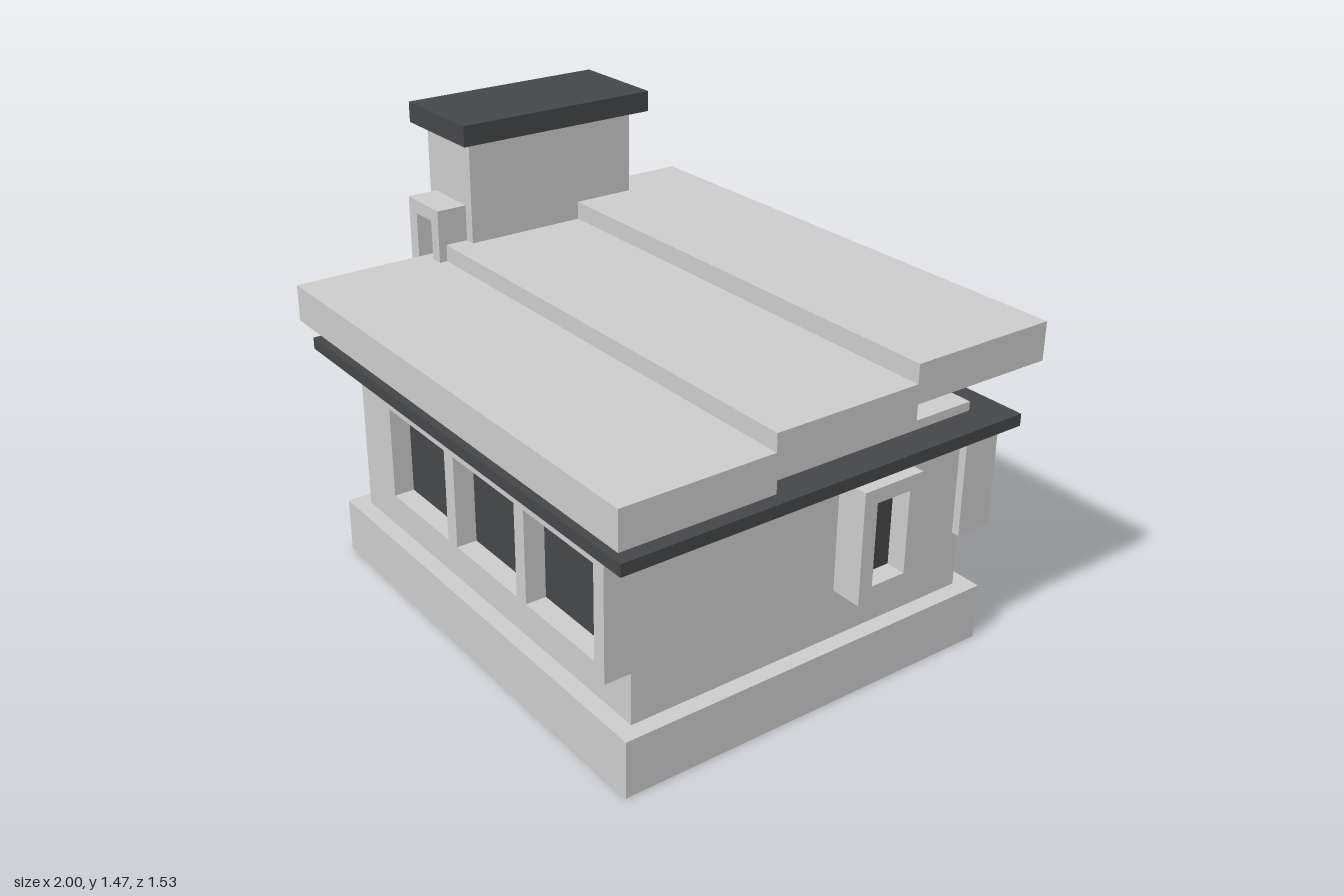
import * as THREE from 'three';

const wallMat = new THREE.MeshStandardMaterial({ color: 0xcccccc, flatShading: true });
const darkMat = new THREE.MeshStandardMaterial({ color: 0x444648, flatShading: true });

// Box given by its low and high limits on each axis
function block(name, [x0, x1], [y0, y1], [z0, z1], mat = wallMat) {
  const mesh = new THREE.Mesh(new THREE.BoxGeometry(x1 - x0, y1 - y0, z1 - z0), mat);
  mesh.name = name;
  mesh.position.set((x0 + x1) / 2, (y0 + y1) / 2, (z0 + z1) / 2);
  return mesh;
}

function rectangle(target, [x0, x1], [y0, y1]) {
  target.moveTo(x0, y0);
  target.lineTo(x1, y0);
  target.lineTo(x1, y1);
  target.lineTo(x0, y1);
  target.closePath();
  return target;
}

// Framed window facing +z: a deep frame from z = 0 with recessed panes
function framedWindow(name, xs, ys, depth, paneXs, paneYs, paneZ) {
  const group = new THREE.Group();
  group.name = name;
  const shape = rectangle(new THREE.Shape(), xs, ys);
  for (const px of paneXs) shape.holes.push(rectangle(new THREE.Path(), px, paneYs));
  const frame = new THREE.Mesh(new THREE.ExtrudeGeometry(shape, { depth, bevelEnabled: false }), wallMat);
  frame.name = 'windowFrame';
  group.add(frame);
  for (const px of paneXs) group.add(block('windowPane', px, paneYs, [0.005, paneZ], darkMat));
  return group;
}

export function createModel() {
  const model = new THREE.Group();
  model.name = 'house';

  // Plinth, walls and dark ledge
  model.add(block('plinth', [-0.737, 0.915], [0, 0.19], [-0.682, 0.682]));
  model.add(block('walls', [-0.68, 0.86], [0.19, 0.83], [-0.625, 0.625]));
  model.add(block('ledge', [-0.79, 0.967], [0.76, 0.8], [-0.735, 0.735], darkMat));

  // Chimney tower and cap
  model.add(block('tower', [-0.957, -0.681], [0, 1.4], [-0.47, 0.177]));
  model.add(block('towerCap', [-1, -0.635], [1.397, 1.468], [-0.52, 0.22], darkMat));

  // Stepped roof: profile in z and y, extruded along x
  const profile = [
    [0.765, 0.86], [0.765, 0.985], [0.257, 0.985], [0.257, 1.043], [-0.25, 1.043], [-0.25, 1.105],
    [-0.763, 1.105], [-0.763, 0.98], [-0.255, 0.98], [-0.255, 0.92], [0.252, 0.92], [0.252, 0.86],
  ];
  const roofShape = new THREE.Shape(profile.map(([z, y]) => new THREE.Vector2(-z, y)));
  const roof = new THREE.Mesh(new THREE.ExtrudeGeometry(roofShape, { depth: 1.815, bevelEnabled: false }), wallMat);
  roof.name = 'steppedRoof';
  roof.rotation.y = Math.PI / 2;
  roof.position.x = -0.815;
  model.add(roof);

  // Triple windows, the same on front and back
  const panes = [[-0.275, 0.063], [0.115, 0.45], [0.5, 0.84]];
  const flip = ([a, b]) => [-b, -a];
  for (const front of [true, false]) {
    const side = front ? (r) => r : flip;
    const win = framedWindow(front ? 'frontWindows' : 'backWindows',
      side([-0.32, 0.887]), [0.385, 0.765], 0.132, panes.map(side), [0.435, 0.74], 0.065);
    win.position.z = front ? 0.6 : -0.6;
    win.rotation.y = front ? 0 : Math.PI;
    model.add(win);
  }

  // Small window on the left wall
  const sideWindow = framedWindow('sideWindow', [0.11, 0.335], [0.355, 0.73], 0.127, [[0.16, 0.287]], [0.405, 0.682], 0.06);
  sideWindow.rotation.y = Math.PI / 2;
  sideWindow.position.x = 0.84;
  model.add(sideWindow);

  // Tall window on the tower front
  const towerWindow = framedWindow('towerWindow', [-0.917, -0.72], [0.37, 1.167], 0.125, [[-0.867, -0.767]], [0.42, 1.12], 0.06);
  towerWindow.position.z = 0.16;
  model.add(towerWindow);

  return model;
}
